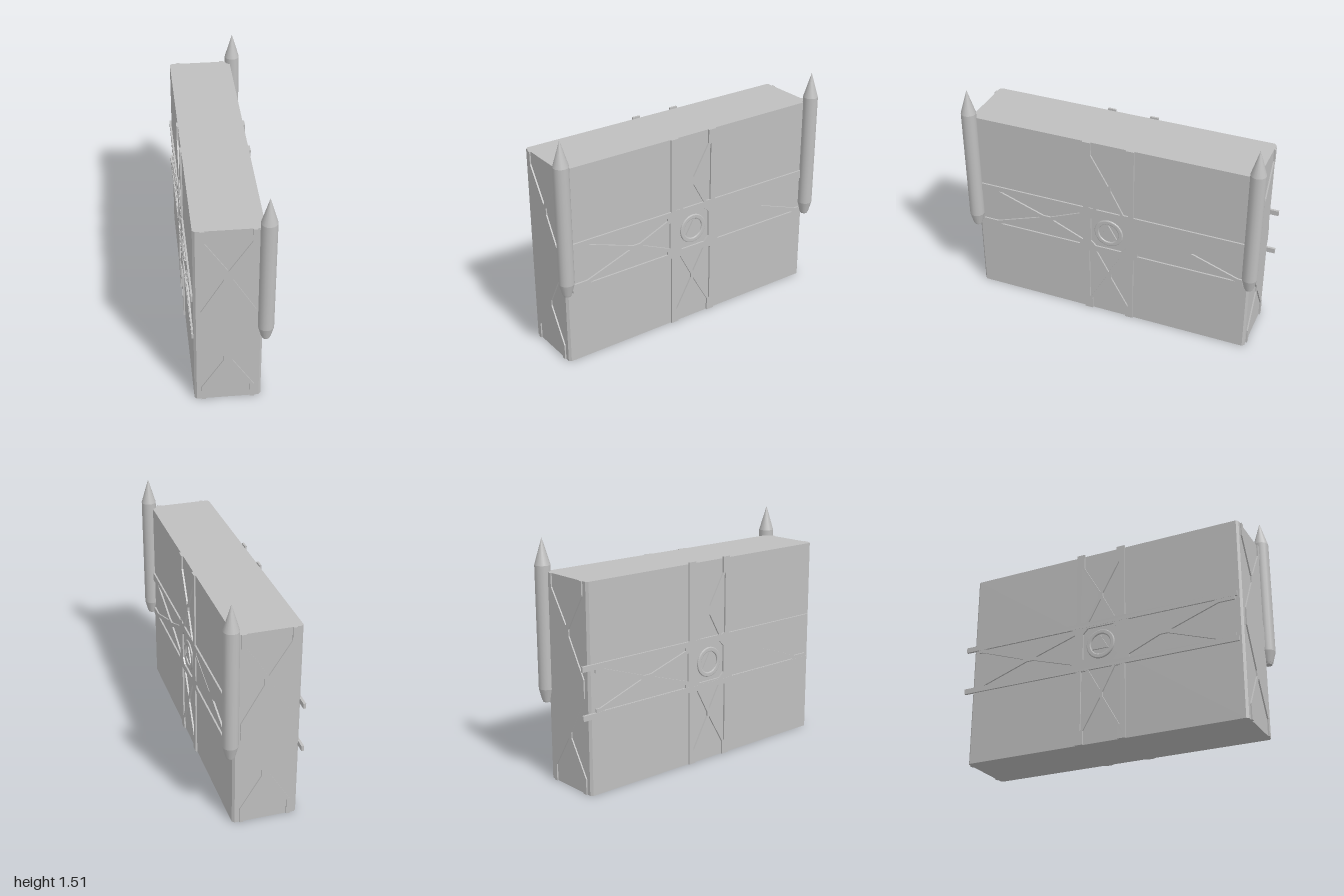
import * as THREE from 'three';

const MID = 0.654; // height of the side hubs

function polygon(points, Type = THREE.Shape) {
  return new Type(points.map(([u, v]) => new THREE.Vector2(u, v)));
}

function plate(outline, holes, depth) {
  const shape = polygon(outline);
  shape.holes = holes.map((h) => polygon(h, THREE.Path));
  return new THREE.ExtrudeGeometry(shape, { depth, bevelEnabled: false, curveSegments: 32 });
}

export function createModel() {
  const model = new THREE.Group();
  const grey = new THREE.MeshStandardMaterial({ color: 0xbfbfbf });
  grey.name = 'plain grey';

  function add(parent, name, geometry, x = 0, y = 0, z = 0) {
    const mesh = new THREE.Mesh(geometry, grey);
    mesh.name = name;
    mesh.position.set(x, y, z);
    parent.add(mesh);
    return mesh;
  }

  // Slab with narrow chamfers along its vertical corners
  const x0 = -0.235, x1 = 0.177, zEnd = 0.947, c = 0.014;
  const slab = plate([
    [x0 + c, -zEnd], [x1 - c, -zEnd], [x1, -zEnd + c], [x1, zEnd - c],
    [x1 - c, zEnd], [x0 + c, zEnd], [x0, zEnd - c], [x0, -zEnd + c],
  ], [], 1.31);
  slab.rotateX(-Math.PI / 2);
  add(model, 'slabBody', slab);

  // Crossed lattice on the narrow front and back faces
  const half = [
    [0.137, 1.31], [0.137, 1.31], [0.164, 1.31], [0.164, 1.22], [0.026, 1.0], [0.026, 0.957],
    [0.164, 0.72], [0.164, 0.605], [0.026, 0.36], [0.026, 0.323], [0.164, 0.1], [0.164, 0],
    [0.137, 0], [0.137, 0.106],
  ].slice(1);
  const mirrored = half.map(([u, v]) => [-u, v]).reverse();
  const lattice = plate(
    [[0, 1.018], [0.137, 1.227], ...half, [0, 0.32], ...mirrored, [-0.137, 1.227]],
    [[[0, 0.954], [0.137, 0.713], [0.137, 0.608], [0, 0.357], [-0.137, 0.608], [-0.137, 0.713]]],
    0.012);
  for (const s of [1, -1]) {
    const mesh = add(model, s > 0 ? 'frontLattice' : 'backLattice', lattice, -0.03, 0, s * 0.944);
    if (s < 0) mesh.rotation.y = Math.PI;
  }

  // Cross-shaped girders and hub on each broad side
  for (const side of [1, -1]) {
    const girder = new THREE.Group();
    girder.name = side > 0 ? 'leftGirder' : 'rightGirder';
    girder.position.x = side > 0 ? x1 - 0.002 : x0 + 0.002;
    girder.rotation.y = side * Math.PI / 2;
    model.add(girder);
    const depth = 0.013;

    // Upright arms, above and below the hub
    for (const dir of [1, -1]) {
      const map = (pts) => pts.map(([u, v]) => [u, dir > 0 ? v : 2 * MID - v]);
      const top = dir < 0 ? 2 * MID : side > 0 ? 1.31 : 1.322;
      const triangle = (s) => map([
        [0.135 * s, 1.22], [0.017 * s, 1.012], [0.017 * s, 0.985], [0.103 * s, 0.82], [0.135 * s, 0.82],
      ]);
      const outline = map([
        [-0.172, 0.82], [-0.172, top], [-0.117, top], [-0.117, 1.22], [0, 1.018],
        [0.117, 1.22], [0.117, top], [0.172, top], [0.172, 0.82],
        [0.083, 0.82], [0, 0.968], [-0.083, 0.82],
      ]);
      // Side triangles stay just above the hub edge so they remain closed holes
      const holes = [triangle(1), triangle(-1)].map((h) => h.map(([u, v]) => [
        u, dir > 0 ? Math.max(v, 0.824) : Math.min(v, 2 * MID - 0.824)]));
      add(girder, dir > 0 ? 'upperArm' : 'lowerArm', plate(outline, holes, depth));
    }

    // Level arms towards both ends
    for (const dir of [1, -1]) {
      const cross = dir > 0 ? 0.437 : 0.51;
      const tip = dir > 0 ? 0.78 : 0.855;
      const u = (pts) => pts.map(([z, v]) => [-side * dir * z, v]);
      const wedge = (s) => u([
        [tip, MID + s * 0.131], [cross + 0.025, MID + s * 0.021],
        [cross - 0.025, MID + s * 0.021], [0.2, MID + s * 0.11], [0.2, MID + s * 0.131],
      ]);
      const outline = u([
        [0.172, 0.82], [0.905, 0.82], [0.905, MID + 0.11], [tip + 0.02, MID + 0.11],
        [cross + 0.05, MID], [tip + 0.02, MID - 0.11], [0.905, MID - 0.11],
        [0.905, 0.488], [0.172, 0.488],
      ]);
      const inner = u([[0.18, MID + 0.092], [cross - 0.045, MID], [0.18, MID - 0.092]]);
      add(girder, dir > 0 ? 'frontArm' : 'backArm', plate(outline, [wedge(1), wedge(-1), inner], depth));
    }

    // Hub frame with an eight-sided opening
    const a = 0.122, b = 0.088;
    const opening = [[b, a], [a, b], [a, -b], [b, -a], [-b, -a], [-a, -b], [-a, b], [-b, a]]
      .map(([p, q]) => [p, q + MID]);
    add(girder, 'hubFrame', plate(
      [[-0.172, 0.488], [0.172, 0.488], [0.172, 0.82], [-0.172, 0.82]], [opening], depth));

    // Round hub rim and raised three-sided block
    const rim = new THREE.Shape().absarc(0, 0, 0.092, 0, Math.PI * 2);
    rim.holes.push(new THREE.Path().absarc(0, 0, 0.074, 0, Math.PI * 2, true));
    add(girder, 'hubRim', new THREE.ExtrudeGeometry(rim, {
      depth: 0.006, bevelThickness: 0.005, bevelSize: 0.006, bevelSegments: 2, curveSegments: 24,
    }), 0, MID, 0);
    add(girder, 'hubBlock', plate([[-0.056, -0.034], [0.056, -0.034], [0, 0.062]], [], 0.011), 0, MID, 0);
  }

  // Rails running past the back corner on one broad side
  for (const y of [0.803, 0.504]) {
    add(model, 'overhangingRail', new THREE.BoxGeometry(0.016, 0.034, 1.92), -0.239, y, -0.04);
  }

  // Pointed spires on two corners
  const sections = [
    ['spireFoot', 0.028, 0.024, 0.494, 0.506],
    ['spireTaper', 0.049, 0.03, 0.506, 0.58],
    ['spireShaft', 0.049, 0.049, 0.58, 1.347],
    ['spirePoint', 0, 0.049, 1.347, 1.512],
  ];
  for (const s of [1, -1]) {
    const spire = new THREE.Group();
    spire.name = s > 0 ? 'frontSpire' : 'backSpire';
    spire.position.set(0.195, 0, s * 0.951);
    model.add(spire);
    for (const [name, rTop, rBottom, low, high] of sections) {
      add(spire, name, new THREE.CylinderGeometry(rTop, rBottom, high - low, 16), 0, (low + high) / 2, 0);
    }
  }

  return model;
}
